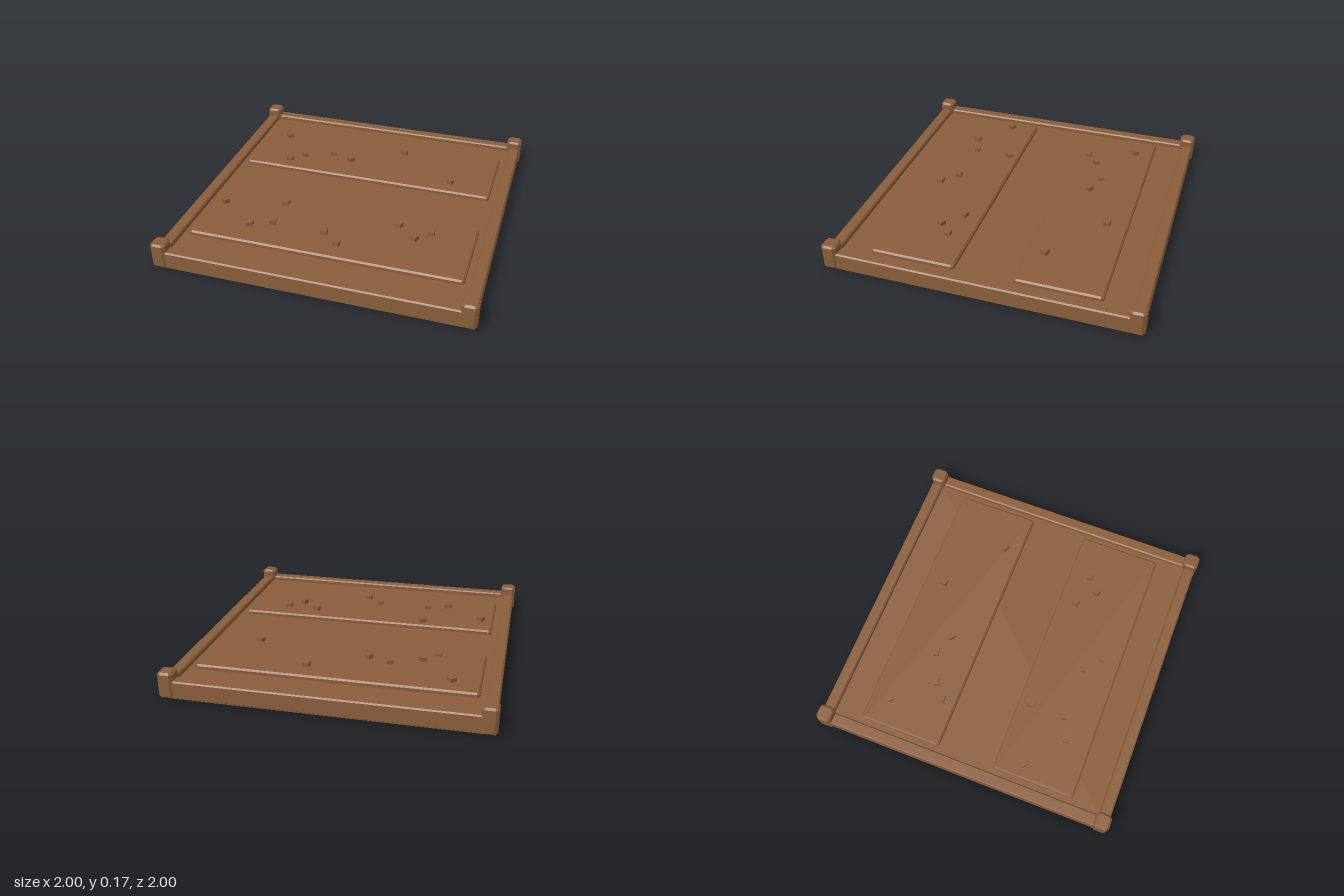
import * as THREE from 'three';

// Box with a single chamfer on every edge, resting on y = 0
function chamferBox(w, h, d, b) {
  const x = w / 2 - b, z = d / 2 - b, c = b;
  const s = new THREE.Shape();
  s.moveTo(-x + c, -z);
  s.lineTo(x - c, -z);
  s.lineTo(x, -z + c);
  s.lineTo(x, z - c);
  s.lineTo(x - c, z);
  s.lineTo(-x + c, z);
  s.lineTo(-x, z - c);
  s.lineTo(-x, -z + c);
  s.closePath();
  const g = new THREE.ExtrudeGeometry(s, {
    depth: h - 2 * b, bevelEnabled: true, bevelThickness: b, bevelSize: b, bevelSegments: 1,
  });
  g.rotateX(-Math.PI / 2);
  g.translate(0, b, 0);
  return g;
}

export function createModel() {
  const group = new THREE.Group();
  const brown = new THREE.MeshStandardMaterial({ color: 0x8b5e3c });
  brown.name = 'earthBrown';

  function add(name, geometry, x, y, z, turn = 0) {
    const mesh = new THREE.Mesh(geometry, brown);
    mesh.name = name;
    mesh.position.set(x, y, z);
    mesh.rotation.y = turn;
    group.add(mesh);
  }

  // Ground slab filling the frame
  add('groundSlab', new THREE.BoxGeometry(1.976, 0.08, 1.976), 0, 0.04, 0);

  // Four rails round the edge
  const rail = chamferBox(1.9, 0.113, 0.075, 0.008);
  add('frontRail', rail, 0, 0, 0.953);
  add('backRail', rail, 0, 0, -0.953);
  add('leftRail', rail, 0.953, 0, 0, Math.PI / 2);
  add('rightRail', rail, -0.953, 0, 0, Math.PI / 2);

  // Corner posts
  const post = chamferBox(0.1, 0.166, 0.1, 0.012);
  for (const x of [-0.95, 0.95]) {
    for (const z of [-0.95, 0.95]) add('cornerPost', post, x, 0, z);
  }

  // Two raised soil beds
  const bed = chamferBox(1.752, 0.06, 0.545, 0.01);
  add('backBed', bed, 0, 0.05, -0.463);
  add('frontBed', bed, 0, 0.05, 0.457);

  // Clods scattered on the beds: x, z, turn
  const clod = new THREE.BoxGeometry(0.042, 0.04, 0.038);
  const clods = [
    [-0.7, -0.61, 0.75], [0.195, -0.6, -0.1], [-0.3, -0.45, 0.3], [-0.49, -0.37, 0.5],
    [-0.155, -0.4, -0.65], [-0.58, -0.29, 0.05], [0.59, -0.305, -0.3],
    [-0.395, 0.25, 0.6], [-0.4, 0.27, 0.1], [-0.79, 0.36, -0.6], [0.38, 0.3, -0.25],
    [0.595, 0.33, 0], [0.505, 0.41, -0.45], [-0.4, 0.5, 0.25], [-0.05, 0.51, 0.1],
    [-0.535, 0.55, 0.05], [-0.54, 0.56, 0.55], [0.06, 0.6, -0.1],
  ];
  for (const [x, z, turn] of clods) add('soilClod', clod, x, 0.117, z, turn);

  return group;
}
